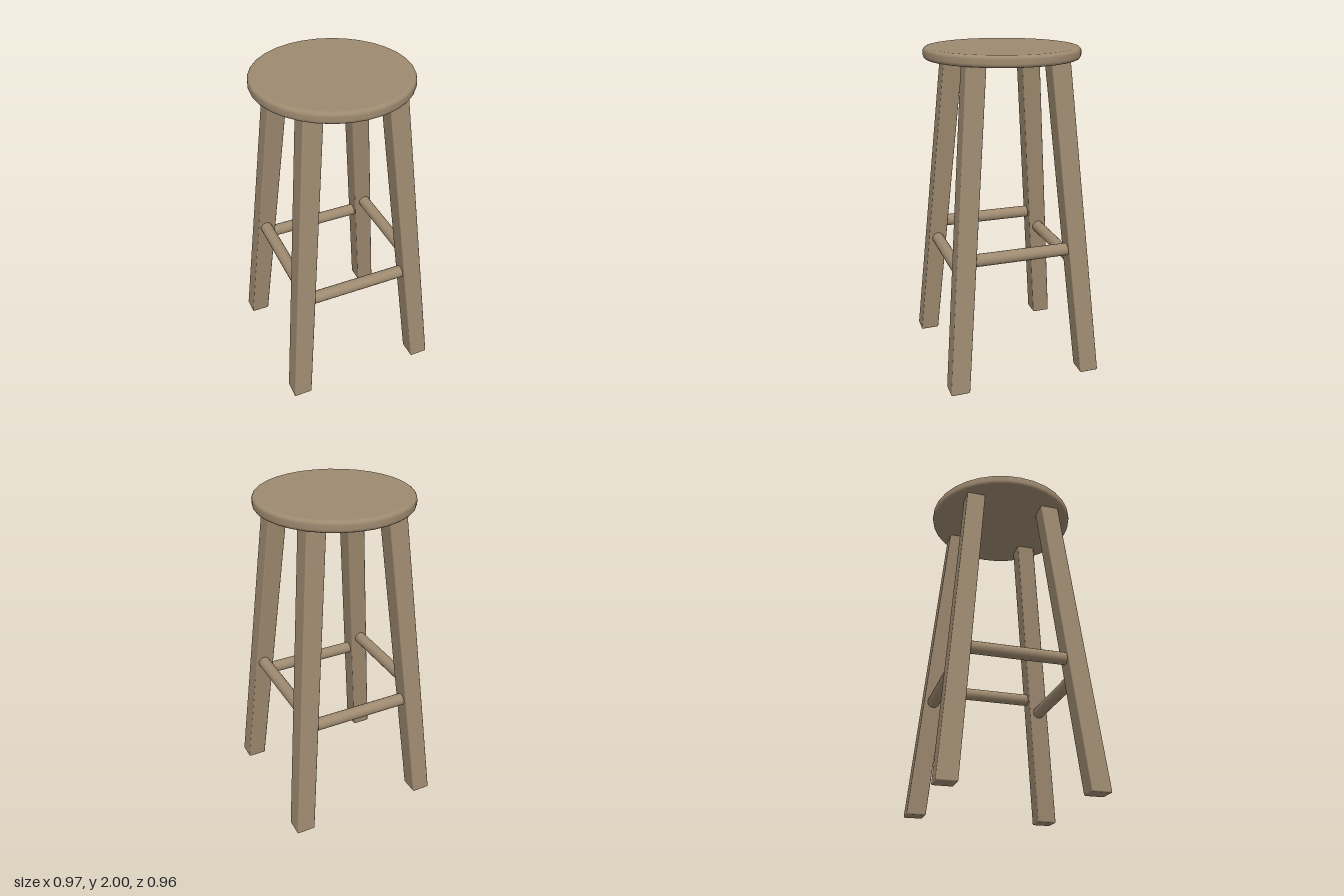
import * as THREE from 'three';
import { RoundedBoxGeometry } from 'three/addons/geometries/RoundedBoxGeometry.js';

export function createModel() {
  const stool = new THREE.Group();
  stool.name = 'stool';
  const wood = new THREE.MeshStandardMaterial({ color: 0x9e8a70 });
  wood.name = 'wood';

  const add = (name, geometry, x = 0, y = 0, z = 0) => {
    const mesh = new THREE.Mesh(geometry, wood);
    mesh.name = name;
    mesh.position.set(x, y, z);
    stool.add(mesh);
    return mesh;
  };

  // Round seat: flat disc with a softly rounded rim
  const seatRadius = 0.467, bottom = 1.932, top = 2, round = 0.022;
  const profile = [new THREE.Vector2(0, bottom), new THREE.Vector2(seatRadius - round - 0.004, bottom)];
  const arc = (cy, start) => {
    for (let i = 0; i <= 4; i++) {
      const a = start + (i / 4) * (Math.PI / 2);
      profile.push(new THREE.Vector2(seatRadius - round + Math.cos(a) * round, cy + Math.sin(a) * round));
    }
  };
  arc(bottom + round, -Math.PI / 2);
  arc(top - round, 0);
  profile.push(new THREE.Vector2(seatRadius - round - 0.004, top), new THREE.Vector2(0, top));
  add('seat', new THREE.LatheGeometry(profile, 32), -0.01, 0, 0);

  // Four square legs, sheared outwards so their ends stay level
  const legHeight = 1.94, legWidth = 0.118;
  const topOffset = 0.249, footX = 0.429, footZ = 0.422;
  for (const sx of [-1, 1]) {
    for (const sz of [-1, 1]) {
      const leg = new RoundedBoxGeometry(legWidth, legHeight, legWidth, 2, 0.008);
      leg.translate(0, legHeight / 2, 0);
      leg.applyMatrix4(new THREE.Matrix4().set(
        1, (sx * (topOffset - footX)) / legHeight, 0, sx * footX,
        0, 1, 0, 0,
        0, (sz * (topOffset - footZ)) / legHeight, 1, sz * footZ,
        0, 0, 0, 1
      ));
      add((sz > 0 ? 'front' : 'back') + (sx > 0 ? 'Left' : 'Right') + 'Leg', leg);
    }
  }

  // Round rungs: lower pair front and back, higher pair at the sides
  const rung = new THREE.CylinderGeometry(0.038, 0.038, 0.7, 16);
  for (const s of [-1, 1]) {
    add(s > 0 ? 'frontRung' : 'backRung', rung, 0, 0.711, s * 0.358).rotation.z = Math.PI / 2;
    add(s > 0 ? 'leftRung' : 'rightRung', rung, s * 0.361, 0.812, 0).rotation.x = Math.PI / 2;
  }

  return stool;
}
